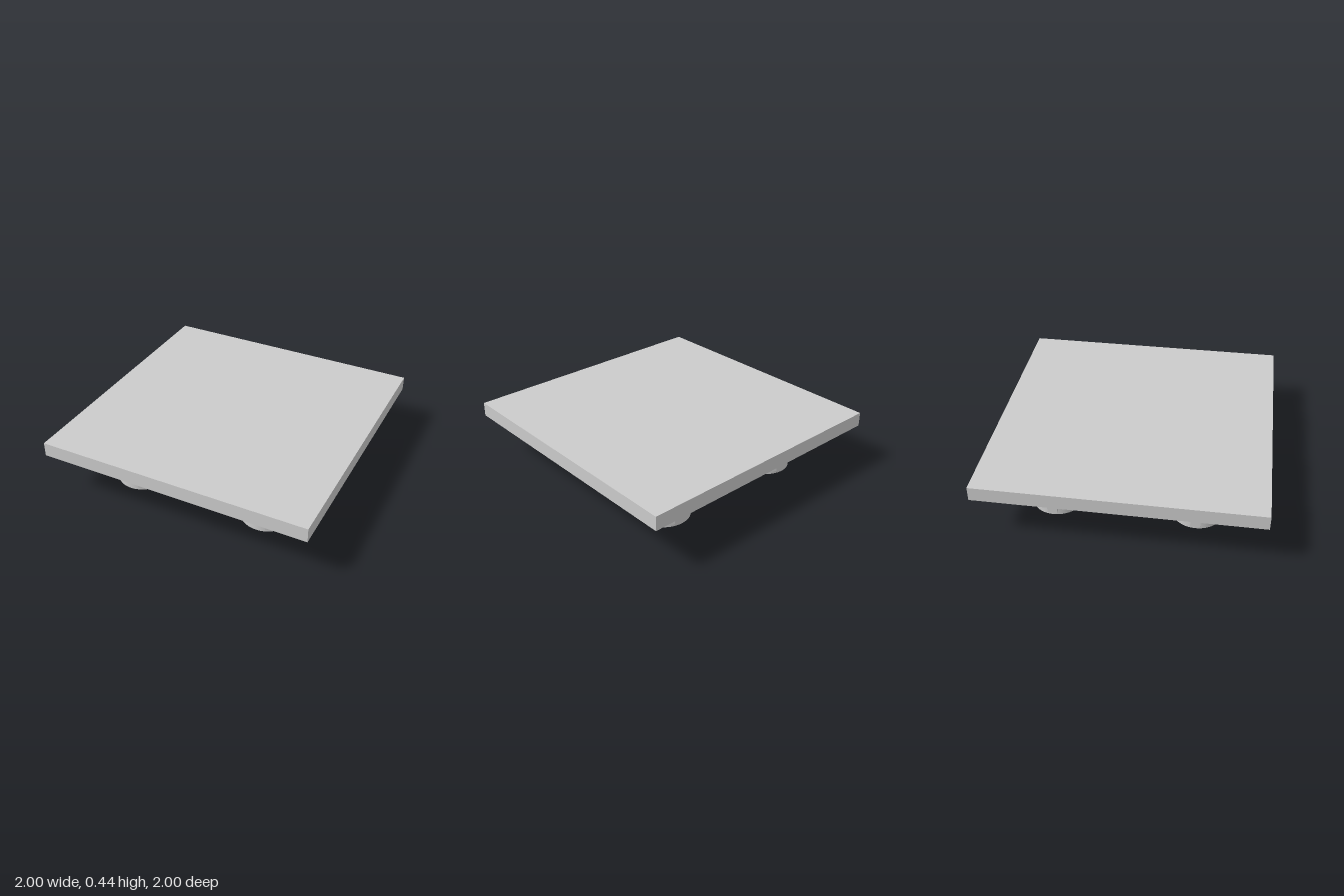
import * as THREE from 'three';

export function createModel() {
  const model = new THREE.Group();
  model.name = 'footedPlate';
  const grey = new THREE.MeshStandardMaterial({ color: 0xcccccc });
  grey.name = 'light grey';

  const add = (parent, name, geometry, x, y, z) => {
    const mesh = new THREE.Mesh(geometry, grey);
    mesh.name = name;
    mesh.position.set(x, y, z);
    parent.add(mesh);
    return mesh;
  };

  // Square slab
  const plateBottom = 0.335, plateTop = 0.44;
  add(model, 'plate', new THREE.BoxGeometry(2, plateTop - plateBottom, 2), 0, (plateBottom + plateTop) / 2, 0);

  // Round feet, each with three upright ribs spaced evenly around it
  const footGeometry = new THREE.CylinderGeometry(0.19, 0.19, plateBottom, 48);
  const ribOuter = 0.213, ribDepth = 0.05;
  const ribGeometry = new THREE.BoxGeometry(ribDepth, 0.265, 0.07);
  ribGeometry.translate(ribOuter - ribDepth / 2, 0, 0);

  for (const sx of [-1, 1]) {
    for (const sz of [-1, 1]) {
      const foot = new THREE.Group();
      foot.name = (sz > 0 ? 'front' : 'back') + (sx > 0 ? 'Left' : 'Right') + 'Foot';
      foot.position.set(sx * 0.51, 0, sz * 0.51);
      add(foot, 'footCylinder', footGeometry, 0, plateBottom / 2, 0);
      for (let i = 0; i < 3; i++) {
        add(foot, 'rib', ribGeometry, 0, 0.1675, 0).rotation.y = Math.PI / 3 + (i * Math.PI * 2) / 3;
      }
      model.add(foot);
    }
  }
  return model;
}
